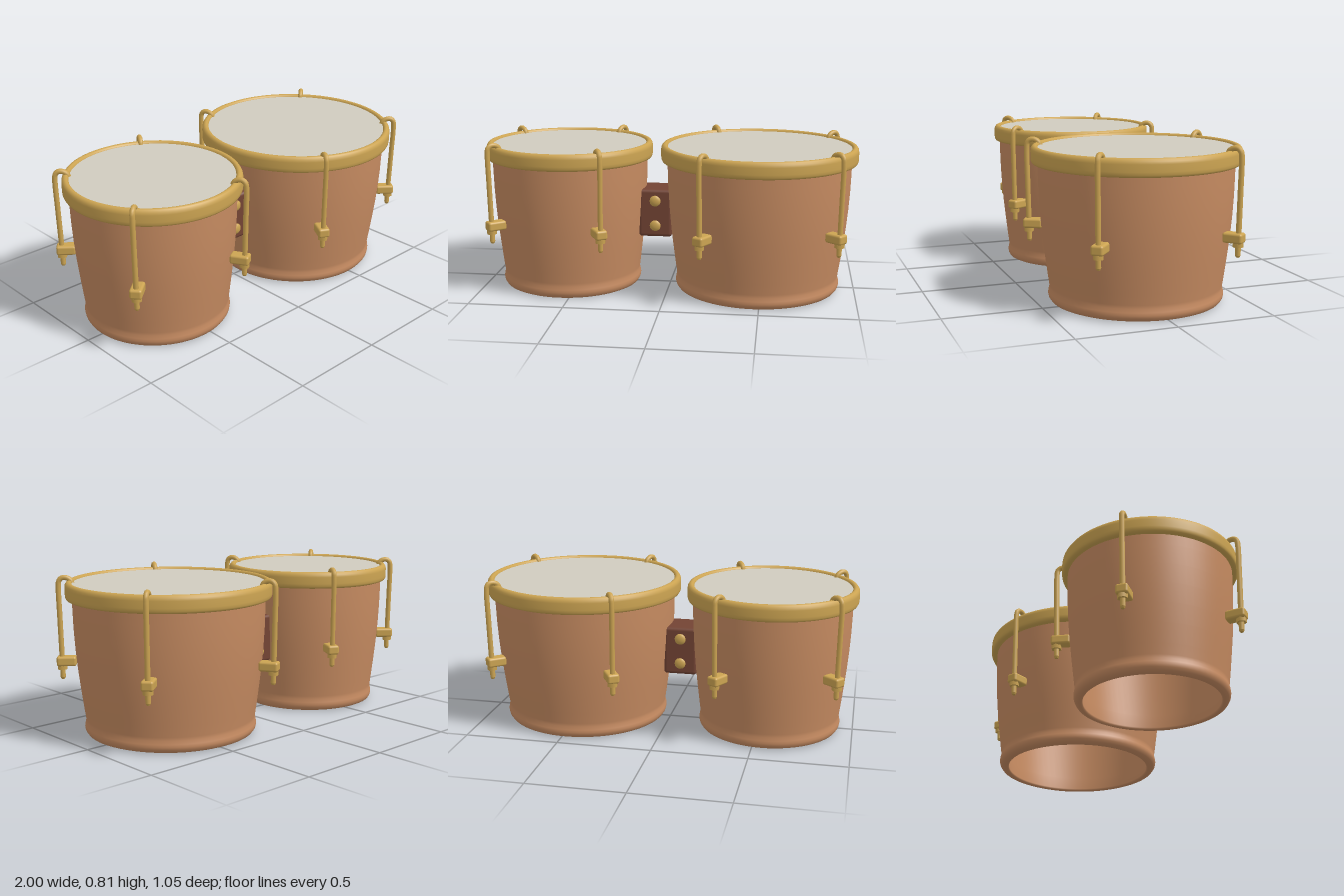
import * as THREE from 'three';
import { RoundedBoxGeometry } from 'three/addons/geometries/RoundedBoxGeometry.js';

const mat = (name, color) => {
  const m = new THREE.MeshStandardMaterial({ color });
  m.name = name;
  return m;
};

export function createModel() {
  const wood = mat('warm wood', 0xc68b61);
  const brass = mat('brass', 0xcca452);
  const skin = mat('drum skin', 0xd0ccbf);
  const darkWood = mat('dark wood', 0x734434);

  const model = new THREE.Group();
  model.name = 'bongoDrums';

  const add = (parent, name, geometry, material, x = 0, y = 0, z = 0) => {
    const mesh = new THREE.Mesh(geometry, material);
    mesh.name = name;
    mesh.position.set(x, y, z);
    parent.add(mesh);
    return mesh;
  };
  const lathe = (pts) => new THREE.LatheGeometry(pts.map(([r, y]) => new THREE.Vector2(r, y)), 72);

  // Hooked rod, lug, nut: local +x points outward from the drum
  function tensionRod(R) {
    const g = new THREE.Group();
    g.name = 'tensionRod';
    const path = new THREE.CatmullRomCurve3([
      [R - 0.035, 0.765], [R - 0.028, 0.783], [R - 0.008, 0.796], [R + 0.015, 0.796],
      [R + 0.03, 0.782], [R + 0.034, 0.755], [R + 0.032, 0.6], [R + 0.028, 0.4], [R + 0.026, 0.285],
    ].map(([x, y]) => new THREE.Vector3(x, y, 0)));
    add(g, 'hookRod', new THREE.TubeGeometry(path, 60, 0.0135, 10), brass);
    add(g, 'rodTip', new THREE.CylinderGeometry(0.0135, 0.009, 0.01, 10), brass, R + 0.026, 0.28);
    add(g, 'lug', new RoundedBoxGeometry(0.1, 0.05, 0.062, 3, 0.012), brass, R + 0.004, 0.369);
    add(g, 'nut', new THREE.CylinderGeometry(0.026, 0.026, 0.022, 6), brass, R + 0.027, 0.336);
    return g;
  }

  // One drum: R is the outer radius of the rim
  function drum(name, x, R, angles) {
    const g = new THREE.Group();
    g.name = name;
    g.position.x = x;
    const k = R / 0.523;

    // Hollow tapered shell with a flared foot
    const shell = [
      [0.46, 0.745], [0.446, 0.5], [0.425, 0.3], [0.398, 0.08], [0.39, 0.012], [0.393, 0.004],
      [0.4, 0], [0.412, 0.001], [0.43, 0.008], [0.44, 0.022], [0.443, 0.036], [0.441, 0.05],
      [0.436, 0.068], [0.437, 0.085], [0.445, 0.14], [0.458, 0.24], [0.47, 0.34], [0.479, 0.44],
      [0.485, 0.54], [0.488, 0.64], [0.489, 0.75],
    ];
    add(g, 'shell', lathe(shell.map(([r, y]) => [r * k, y])), wood);

    // Rounded rim band
    add(g, 'rim', lathe([
      [R - 0.045, 0.695], [R - 0.016, 0.695], [R - 0.006, 0.699], [R - 0.001, 0.708], [R, 0.722],
      [R, 0.757], [R - 0.002, 0.77], [R - 0.009, 0.78], [R - 0.018, 0.784], [R - 0.026, 0.783],
      [R - 0.033, 0.778], [R - 0.037, 0.768], [R - 0.038, 0.755],
    ]), brass);

    // Skin disc, also seen from inside the shell
    const top = add(g, 'skin', new THREE.CircleGeometry(R - 0.034, 72), skin, 0, 0.772);
    top.rotation.x = -Math.PI / 2;
    const under = add(g, 'skinUnderside', new THREE.CircleGeometry(R - 0.04, 72), skin, 0, 0.745);
    under.rotation.x = Math.PI / 2;

    // Rods mirrored front and back
    for (const a of angles) {
      for (const side of [1, -1]) {
        const rod = tensionRod(R);
        rod.rotation.y = -side * THREE.MathUtils.degToRad(a);
        g.add(rod);
      }
    }
    model.add(g);
  }
  drum('largeDrum', 0.475, 0.523, [40, 120]);
  drum('smallDrum', -0.55, 0.449, [60, 140]);

  // Block joining the drums, with domed bolts front and back
  add(model, 'bridgeBlock', new RoundedBoxGeometry(0.18, 0.26, 0.196, 3, 0.018), darkWood, -0.073, 0.41);
  for (const y of [0.342, 0.478]) {
    for (const side of [1, -1]) {
      const bolt = add(model, 'bridgeBolt',
        new THREE.SphereGeometry(0.031, 12, 6, 0, Math.PI * 2, 0, Math.PI / 2), brass, -0.073, y, side * 0.096);
      bolt.rotation.x = side * Math.PI / 2;
      bolt.scale.y = 0.5;
    }
  }
  return model;
}
